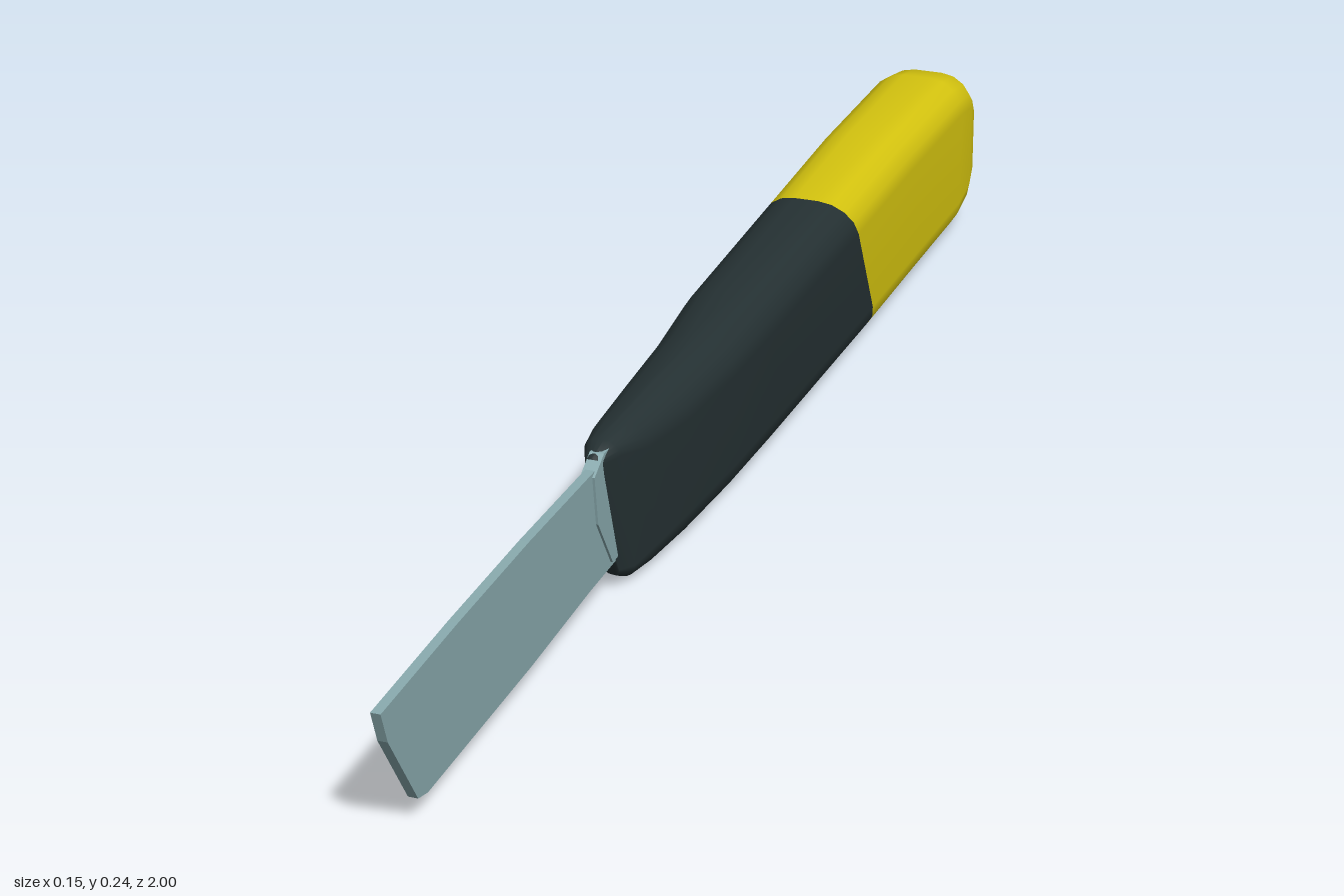
import * as THREE from 'three';

const mat = (name, color) => {
  const m = new THREE.MeshStandardMaterial({ color });
  m.name = name;
  return m;
};

// Rounded-rectangle section whose z leans from zBottom to zTop
function section([zBottom, zTop, x0, x1, y0, y1, radius]) {
  const r = Math.min(radius, 0.48 * (x1 - x0));
  const centres = [[x1 - r, y1 - r], [x0 + r, y1 - r], [x0 + r, y0 + r], [x1 - r, y0 + r]];
  const points = [];
  centres.forEach(([cx, cy], k) => {
    for (let s = 0; s <= 4; s++) {
      const a = (k + s / 4) * Math.PI / 2;
      const x = cx + r * Math.cos(a), y = cy + r * Math.sin(a);
      points.push([x, y, zBottom + (zTop - zBottom) * (y - y0) / (y1 - y0)]);
    }
  });
  return points;
}

// Handle loft; group 0 is yellow, group 1 is dark
function handleGeometry(rings, panelRing, darkRing) {
  const sections = rings.map(section), n = sections[0].length;
  const positions = sections.flat(2);
  const faces = [[], []];
  for (let i = 0; i < rings.length - 1; i++) {
    for (let j = 0; j < n; j++) {
      // the flat strip on the slider side stays dark further back
      const dark = i >= darkRing || (i >= panelRing && j === 9);
      const k = (j + 1) % n, a = i * n + j, b = i * n + k, c = a + n, d = b + n;
      faces[dark ? 1 : 0].push(a, b, d, a, d, c);
    }
  }
  // end caps
  [0, rings.length - 1].forEach((i, end) => {
    const [zb, zt, x0, x1, y0, y1] = rings[i];
    const centre = positions.length / 3;
    positions.push((x0 + x1) / 2, (y0 + y1) / 2, (zb + zt) / 2);
    for (let j = 0; j < n; j++) {
      const a = i * n + j, b = i * n + (j + 1) % n;
      faces[end].push(centre, ...(end ? [a, b] : [b, a]));
    }
  });
  const g = new THREE.BufferGeometry();
  g.setAttribute('position', new THREE.Float32BufferAttribute(positions, 3));
  g.setIndex([...faces[0], ...faces[1]]);
  g.addGroup(0, faces[0].length, 0);
  g.addGroup(faces[0].length, faces[1].length, 1);
  g.computeVertexNormals();
  return g;
}

// Plate cut from an outline, turned so its axes follow the given directions
function plate(outline, depth, xAxis, yAxis, origin) {
  const shape = new THREE.Shape(outline.map(([x, y]) => new THREE.Vector2(x, y)));
  const g = new THREE.ExtrudeGeometry(shape, { depth, bevelEnabled: false });
  const zAxis = new THREE.Vector3().crossVectors(xAxis, yAxis);
  const m = new THREE.Matrix4().makeBasis(xAxis, yAxis, zAxis).setPosition(...origin);
  return g.applyMatrix4(m);
}

export function createModel() {
  const yellow = mat('yellow plastic', 0xd6c50f);
  const dark = mat('dark plastic', 0x253133);
  const steel = mat('blade steel', 0x8aabaf);
  const group = new THREE.Group();
  const add = (name, geometry, material) => {
    const mesh = new THREE.Mesh(geometry, material);
    mesh.name = name;
    group.add(mesh);
  };

  // Handle: zBottom, zTop, x0, x1, y0, y1, corner radius
  const rings = [
    [-1.0, -1.0, -0.055, 0.055, 0.065, 0.17, 0.03],
    [-0.992, -0.992, -0.064, 0.061, 0.035, 0.203, 0.04],
    [-0.965, -0.965, -0.07, 0.065, 0.012, 0.226, 0.047],
    [-0.91, -0.91, -0.073, 0.067, 0, 0.236, 0.05],
    [-0.74, -0.65, -0.07, 0.068, 0, 0.237, 0.05],
    [-0.52, -0.4, -0.063, 0.07, 0, 0.233, 0.05],
    [-0.12, -0.08, -0.056, 0.069, 0, 0.225, 0.05],
    [0.03, 0.05, -0.044, 0.066, 0, 0.22, 0.048],
    [0.17, 0.19, -0.037, 0.058, 0, 0.216, 0.045],
    [0.26, 0.3, -0.027, 0.046, 0.002, 0.213, 0.035],
    [0.305, 0.355, -0.014, 0.033, 0.006, 0.209, 0.02],
    [0.33, 0.39, 0.002, 0.022, 0.02, 0.2, 0.009],
  ];
  add('handle', handleGeometry(rings, 4, 5), [yellow, dark]);

  // Blade with slanted tip
  const X = new THREE.Vector3(1, 0, 0), Y = new THREE.Vector3(0, 1, 0), Z = new THREE.Vector3(0, 0, 1);
  const bladeOutline = [
    [0.28, 0.045], [0.42, 0.042], [0.6, 0.032], [0.89, 0.024], [0.915, 0.03],
    [0.985, 0.135], [1, 0.176], [0.8, 0.185], [0.6, 0.19], [0.28, 0.19],
  ];
  add('blade', plate(bladeOutline, 0.012, Z, Y, [0.02, 0, 0]), steel);

  // Blade carrier peeking out of the nose
  const carrierOutline = [[0.29, 0.05], [0.355, 0.05], [0.4, 0.12], [0.41, 0.185], [0.38, 0.203], [0.29, 0.203]];
  add('bladeCarrier', plate(carrierOutline, 0.018, Z, Y, [0.023, 0, 0]), steel);

  // Slider on the -x side: dark base and ridged yellow thumb pad
  const out = X.clone().negate();
  const baseOutline = [[-0.13, 0.04], [0.12, 0.03], [0.06, 0.052], [0.02, 0.066], [-0.03, 0.07], [-0.08, 0.064]];
  add('sliderBase', plate(baseOutline, 0.075, Z, out, [0, 0.15, 0]), dark);
  const padOutline = [[-0.03, 0.04], [0.15, 0.03], [0.14, 0.046]];
  for (let i = 0; i < 5; i++) {
    const z = 0.115 - i * 0.033, h = 0.055 + i * 0.005;
    padOutline.push([z, h], [z - 0.014, h], [z - 0.02, h - 0.005]);
  }
  add('sliderPad', plate(padOutline, 0.05, Z, out, [0, 0.137, 0]), yellow);

  return group;
}
